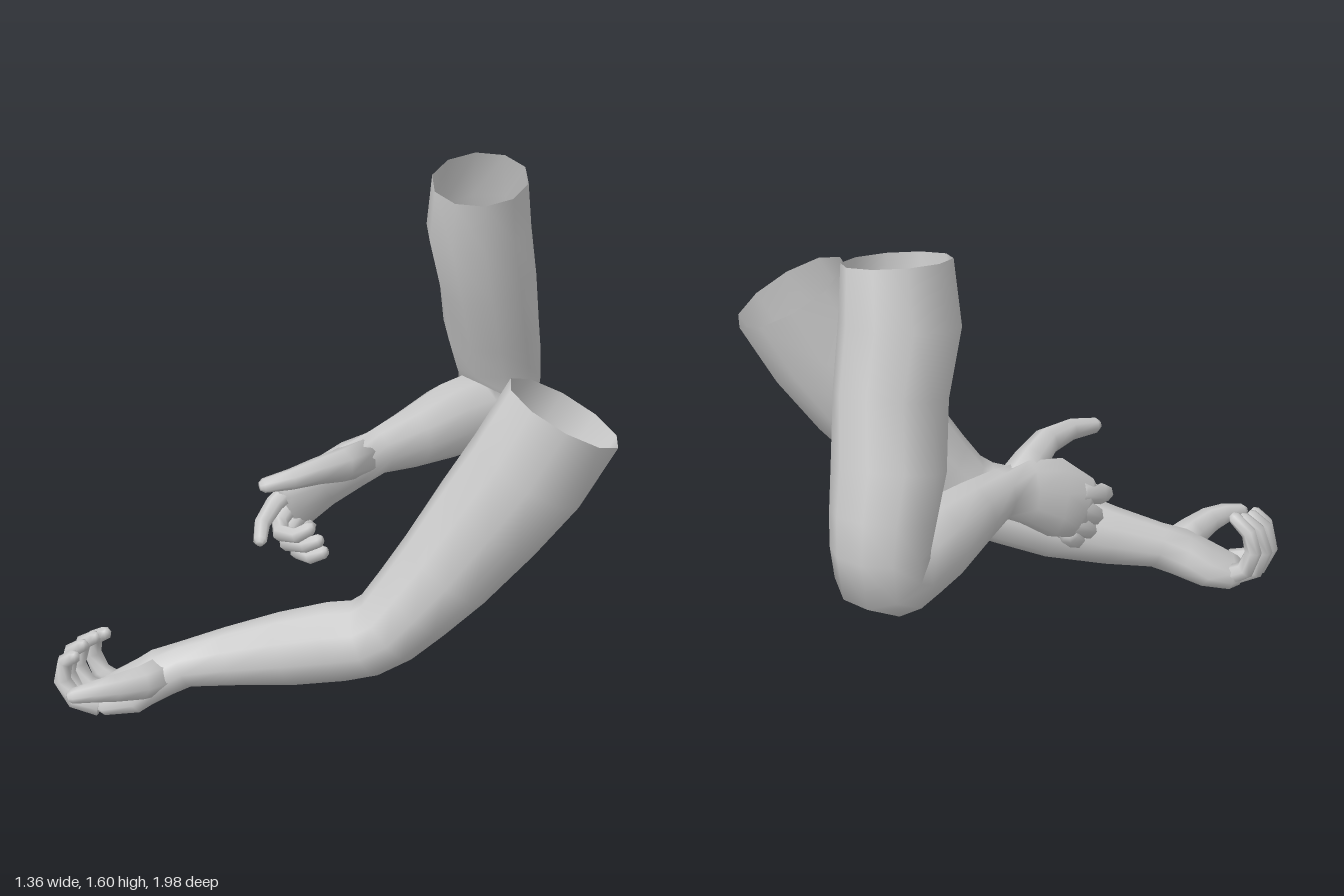
import * as THREE from 'three';

const skin = new THREE.MeshStandardMaterial({ color: 0xcccccc, side: THREE.DoubleSide });
skin.name = 'plain grey';

// Smooth skin through rings [x, y, z, halfWidth, halfDepth, side?]; width runs along side
function loft(name, rings, side, sides, capStart, capEnd) {
  const centres = rings.map(r => new THREE.Vector3(r[0], r[1], r[2]));
  const positions = [], index = [];
  const last = rings.length - 1;
  rings.forEach((r, k) => {
    const before = centres[Math.max(k - 1, 0)], after = centres[Math.min(k + 1, last)];
    const along = after.clone().sub(before).normalize();
    const u = new THREE.Vector3(...(r[5] || side));
    u.addScaledVector(along, -u.dot(along)).normalize();
    const v = along.clone().cross(u);
    for (let i = 0; i < sides; i++) {
      const a = (i / sides) * Math.PI * 2;
      const p = centres[k].clone()
        .addScaledVector(u, Math.cos(a) * r[3])
        .addScaledVector(v, Math.sin(a) * r[4]);
      positions.push(p.x, p.y, p.z);
    }
  });
  for (let k = 0; k < last; k++) {
    for (let i = 0; i < sides; i++) {
      const a = k * sides + i, b = k * sides + (i + 1) % sides;
      index.push(a, b, a + sides, b, b + sides, a + sides);
    }
  }
  const cap = (k, flip) => {
    const c = positions.length / 3, o = k * sides;
    positions.push(...centres[k].toArray());
    for (let i = 0; i < sides; i++) {
      const a = o + i, b = o + (i + 1) % sides;
      if (flip) index.push(c, b, a); else index.push(c, a, b);
    }
  };
  if (capStart) cap(0, true);
  if (capEnd) cap(last, false);
  const g = new THREE.BufferGeometry();
  g.setAttribute('position', new THREE.Float32BufferAttribute(positions, 3));
  g.setIndex(index);
  g.computeVertexNormals();
  const mesh = new THREE.Mesh(g, skin);
  mesh.name = name;
  return mesh;
}

// Tapered digit along a few joints, with a blunt rounded tip
function digit(name, joints, r0, r1, side) {
  const n = joints.length - 1;
  const rings = joints.map((p, i) => {
    const r = r0 + (r1 - r0) * i / n;
    return [...p, r, r];
  });
  const end = new THREE.Vector3(...joints[n]);
  const dir = end.clone().sub(new THREE.Vector3(...joints[n - 1])).normalize();
  const tip = end.addScaledVector(dir, r1 * 0.6);
  rings.push([tip.x, tip.y, tip.z, r1 * 0.55, r1 * 0.55]);
  return loft(name, rings, side, 7, true, true);
}

function buildArm(name, spec) {
  const arm = new THREE.Group();
  arm.name = name;
  arm.add(loft('armAndPalm', spec.rings, spec.side, 10, false, true));
  for (const [finger, joints] of Object.entries(spec.fingers)) {
    arm.add(digit(finger, joints, 0.036, 0.023, spec.fingerSide));
  }
  arm.add(digit('thumb', spec.thumb, 0.066, 0.025, spec.fingerSide));
  return arm;
}

// Right arm: upper arm hangs down, forearm reaches forward, palm turned inward
const rightArm = {
  side: [1, 0, 0],
  fingerSide: [0.1, 1, 0.1],
  rings: [
    [-0.283, 1.575, -0.653, 0.155, 0.17],
    [-0.315, 1.40, -0.68, 0.172, 0.185],
    [-0.325, 1.20, -0.735, 0.16, 0.178],
    [-0.365, 1.00, -0.795, 0.168, 0.165],
    [-0.38, 0.87, -0.84, 0.155, 0.157],
    [-0.385, 0.775, -0.86, 0.15, 0.142],
    [-0.385, 0.705, -0.852, 0.147, 0.145],
    [-0.382, 0.672, -0.80, 0.143, 0.135],
    [-0.376, 0.675, -0.72, 0.135, 0.133],
    [-0.368, 0.68, -0.60, 0.123, 0.132],
    [-0.345, 0.685, -0.40, 0.096, 0.103],
    [-0.337, 0.69, -0.25, 0.073, 0.08],
    [-0.36, 0.665, -0.15, 0.074, 0.1, [0.92, -0.38, 0]],
    [-0.395, 0.615, -0.04, 0.065, 0.13, [0.9, -0.4, 0]],
    [-0.43, 0.56, 0.04, 0.047, 0.105, [1, -0.05, 0.2]],
    [-0.44, 0.545, 0.07, 0.025, 0.085, [1, -0.05, 0.2]],
  ],
  fingers: {
    indexFinger: [[-0.44, 0.62, 0.03], [-0.445, 0.575, 0.12], [-0.415, 0.54, 0.2], [-0.365, 0.515, 0.25]],
    middleFinger: [[-0.44, 0.57, 0.03], [-0.445, 0.51, 0.1], [-0.39, 0.495, 0.14], [-0.32, 0.51, 0.13], [-0.285, 0.54, 0.1]],
    ringFinger: [[-0.43, 0.52, 0.01], [-0.435, 0.465, 0.08], [-0.38, 0.455, 0.12], [-0.3, 0.475, 0.11], [-0.265, 0.495, 0.08]],
    littleFinger: [[-0.42, 0.48, 0], [-0.41, 0.435, 0.05], [-0.36, 0.42, 0.09], [-0.3, 0.425, 0.09], [-0.265, 0.445, 0.06]],
  },
  thumb: [[-0.34, 0.69, -0.17], [-0.305, 0.715, -0.05], [-0.285, 0.74, 0.06], [-0.295, 0.742, 0.17], [-0.33, 0.735, 0.255]],
};

// Left arm: reaches down and across the front, palm turned up
const leftArm = {
  side: [0.7, 0, 0.7],
  fingerSide: [0.6, 0.1, 0.8],
  rings: [
    [0.52, 1.135, -0.25, 0.16, 0.2],
    [0.45, 0.94, -0.165, 0.163, 0.2],
    [0.365, 0.77, -0.085, 0.157, 0.188],
    [0.28, 0.59, 0.02, 0.15, 0.165],
    [0.215, 0.47, 0.10, 0.143, 0.145],
    [0.165, 0.385, 0.165, 0.138, 0.13],
    [0.115, 0.342, 0.215, 0.134, 0.128],
    [0.04, 0.317, 0.27, 0.13, 0.133],
    [-0.10, 0.265, 0.36, 0.115, 0.125],
    [-0.25, 0.215, 0.475, 0.092, 0.1],
    [-0.365, 0.175, 0.58, 0.072, 0.078],
    [-0.415, 0.145, 0.635, 0.1, 0.078],
    [-0.465, 0.097, 0.70, 0.13, 0.07],
    [-0.54, 0.06, 0.765, 0.105, 0.052],
    [-0.57, 0.06, 0.785, 0.085, 0.028],
  ],
  fingers: {
    indexFinger: [[-0.5, 0.06, 0.83], [-0.565, 0.075, 0.88], [-0.605, 0.14, 0.9], [-0.595, 0.21, 0.89], [-0.555, 0.24, 0.88]],
    middleFinger: [[-0.54, 0.05, 0.80], [-0.605, 0.065, 0.845], [-0.635, 0.14, 0.86], [-0.62, 0.22, 0.845], [-0.575, 0.255, 0.83]],
    ringFinger: [[-0.56, 0.05, 0.76], [-0.62, 0.075, 0.795], [-0.645, 0.15, 0.81], [-0.625, 0.23, 0.795], [-0.575, 0.265, 0.78]],
    littleFinger: [[-0.565, 0.07, 0.71], [-0.62, 0.1, 0.735], [-0.64, 0.17, 0.75], [-0.62, 0.235, 0.75], [-0.56, 0.275, 0.75]],
  },
  thumb: [[-0.395, 0.15, 0.64], [-0.39, 0.16, 0.745], [-0.4, 0.175, 0.84], [-0.42, 0.18, 0.91], [-0.45, 0.175, 0.97]],
};

export function createModel() {
  const model = new THREE.Group();
  model.name = 'pairOfArms';
  model.add(buildArm('rightArm', rightArm), buildArm('leftArm', leftArm));
  return model;
}
